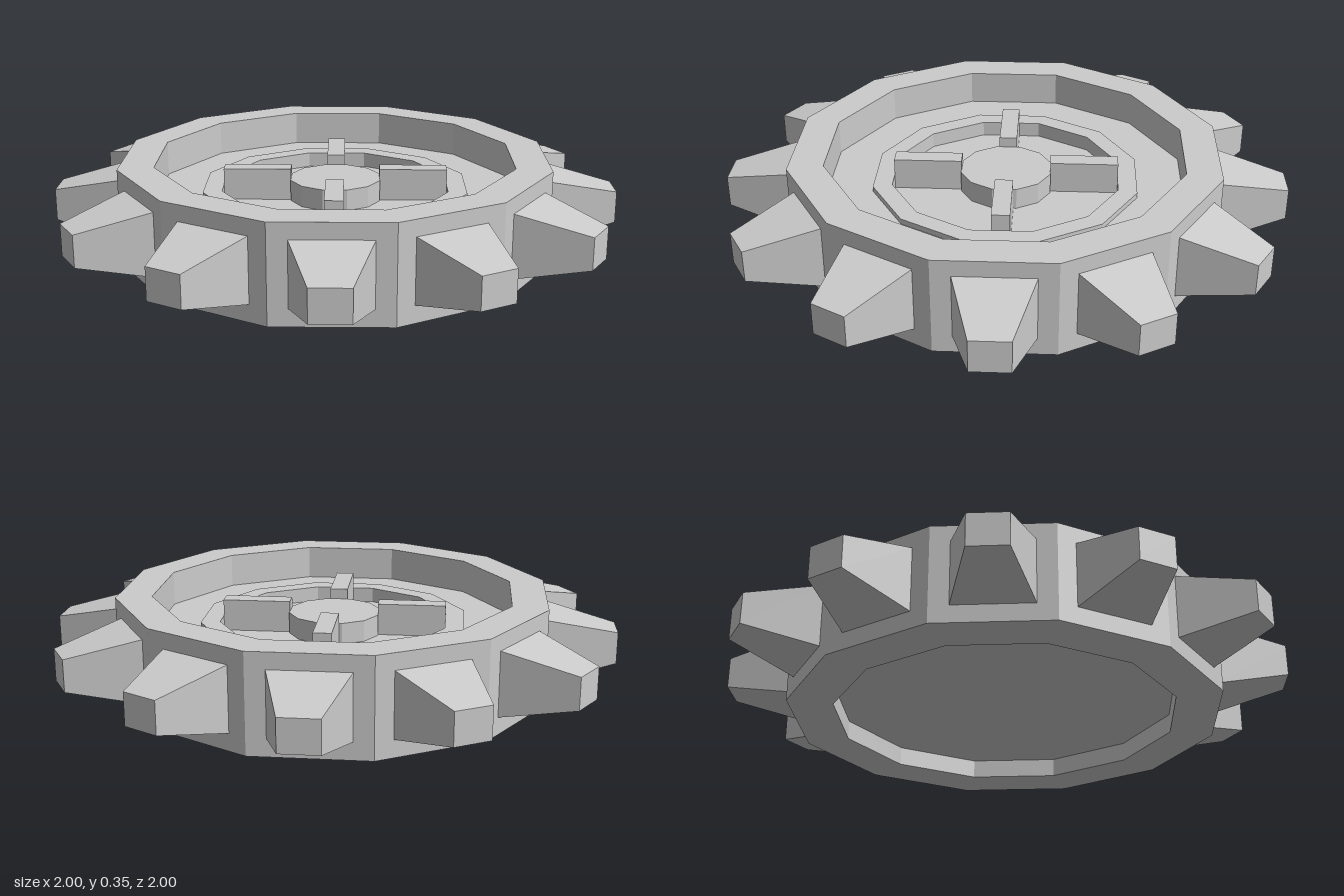
import * as THREE from 'three';

const SIDES = 12;
const material = new THREE.MeshStandardMaterial({ color: 0xcccccc, flatShading: true });

function addPart(parent, name, geometry) {
  const mesh = new THREE.Mesh(geometry, material);
  mesh.name = name;
  parent.add(mesh);
  return mesh;
}

// Box running outward along +z that narrows towards its outer end
function toothGeometry() {
  const inner = 0.763, outer = 1.018;
  const g = new THREE.BoxGeometry(0.274, 0.23, outer - inner);
  const p = g.attributes.position;
  for (let i = 0; i < p.count; i++) {
    if (p.getZ(i) > 0) p.setXY(i, p.getX(i) * 0.49, p.getY(i) * 0.5);
  }
  g.translate(0, 0.177, (inner + outer) / 2);
  g.computeVertexNormals();
  return g;
}

export function createModel() {
  const model = new THREE.Group();
  model.name = 'gearWheel';

  // Wheel body: recessed underside, outer wall, rim, dish, raised ring and sunken centre
  const profile = [
    [0, 0.07], [0.625, 0.07], [0.625, 0], [0.79, 0], [0.79, 0.35], [0.66, 0.35],
    [0.66, 0.225], [0.49, 0.225], [0.49, 0.245], [0.42, 0.245], [0.42, 0.19], [0, 0.19],
  ].map(([r, y]) => new THREE.Vector2(r, y));
  addPart(model, 'wheelBody', new THREE.LatheGeometry(profile, SIDES));

  // Hub disc
  const hub = new THREE.CylinderGeometry(0.168, 0.168, 0.082, SIDES);
  hub.translate(0, 0.226, 0);
  addPart(model, 'hub', hub);

  // One tapered tooth in the middle of each flat side
  const teeth = new THREE.Group();
  teeth.name = 'teeth';
  const tooth = toothGeometry();
  for (let i = 0; i < SIDES; i++) {
    addPart(teeth, 'tooth', tooth).rotation.y = ((i + 0.5) * 2 * Math.PI) / SIDES;
  }
  model.add(teeth);

  // Four spokes from the hub to the raised ring
  const spokes = new THREE.Group();
  spokes.name = 'spokes';
  const spoke = new THREE.BoxGeometry(0.245, 0.12, 0.065);
  spoke.translate(0.2835, 0.245, 0);
  for (let i = 0; i < 4; i++) {
    addPart(spokes, 'spoke', spoke).rotation.y = Math.PI / 12 + (i * Math.PI) / 2;
  }
  model.add(spokes);

  return model;
}
